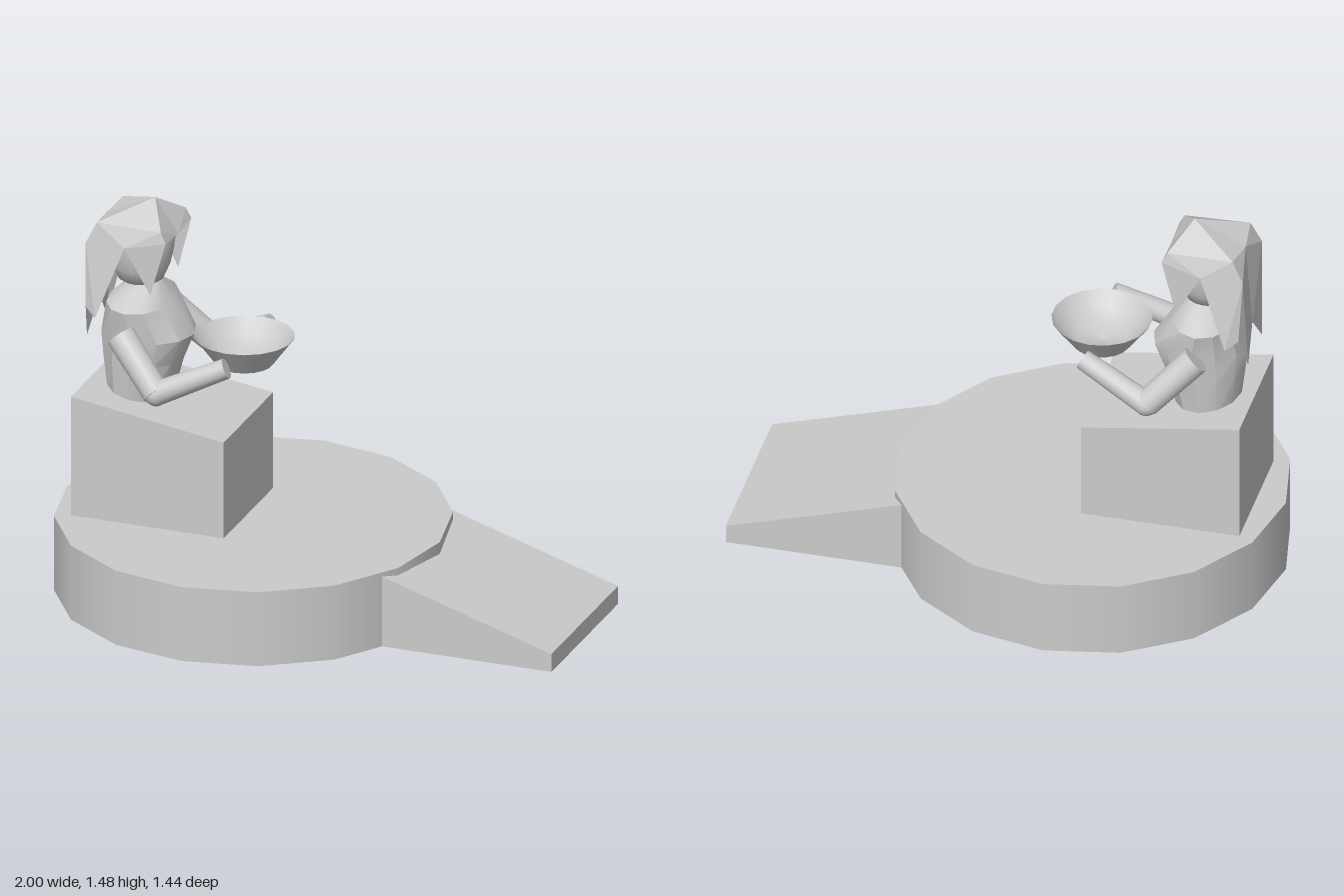
import * as THREE from 'three';
import { toCreasedNormals } from 'three/addons/utils/BufferGeometryUtils.js';

const smooth = new THREE.MeshStandardMaterial({ color: 0xcccccc, side: THREE.DoubleSide });
const flat = new THREE.MeshStandardMaterial({ color: 0xcccccc, side: THREE.DoubleSide, flatShading: true });
const V = (x, y, z) => new THREE.Vector3(x, y, z);

function add(parent, name, geometry, material = smooth) {
  const mesh = new THREE.Mesh(geometry, material);
  mesh.name = name;
  parent.add(mesh);
  return mesh;
}

// Side outline in x and y, extruded symmetrically across z
function slab(points, halfWidth) {
  const shape = new THREE.Shape(points.map(([x, y]) => new THREE.Vector2(x, y)));
  const g = new THREE.ExtrudeGeometry(shape, { depth: 2 * halfWidth, bevelEnabled: false });
  return g.translate(0, 0, -halfWidth);
}

function lathe(points, sides) {
  return new THREE.LatheGeometry(points.map(([r, y]) => new THREE.Vector2(r, y)), sides);
}

// Tapered limb from a to b
function limb(a, b, ra, rb) {
  const d = b.clone().sub(a);
  const g = new THREE.CylinderGeometry(rb, ra, d.length(), 14);
  g.applyQuaternion(new THREE.Quaternion().setFromUnitVectors(V(0, 1, 0), d.normalize()));
  const mid = a.clone().add(b).multiplyScalar(0.5);
  return g.translate(mid.x, mid.y, mid.z);
}

// Elliptical rings [y, back x, front x, half width] joined into a closed body
function loft(rings, sides) {
  const pos = [], index = [];
  for (const [y, back, front, w] of rings) {
    for (let i = 0; i < sides; i++) {
      const t = (i / sides) * Math.PI * 2;
      pos.push((back + front) / 2 + Math.cos(t) * (front - back) / 2, y, Math.sin(t) * w);
    }
  }
  for (let r = 0; r < rings.length - 1; r++) {
    for (let i = 0; i < sides; i++) {
      const a = r * sides + i, b = r * sides + (i + 1) % sides;
      index.push(a, a + sides, b, b, a + sides, b + sides);
    }
  }
  const top = (rings.length - 1) * sides;
  for (let i = 1; i < sides - 1; i++) {
    index.push(0, i, i + 1, top, top + i + 1, top + i);
  }
  const g = new THREE.BufferGeometry();
  g.setAttribute('position', new THREE.Float32BufferAttribute(pos, 3));
  g.setIndex(index);
  return toCreasedNormals(g, 0.5);
}

// Faceted hair: triangles of the +z half, mirrored across z
function hairGeometry() {
  const p = {
    peak: [-0.66, 1.475, 0], brow: [-0.57, 1.345, 0], crown: [-0.85, 1.385, 0],
    frontTop: [-0.59, 1.395, 0.125], backTop: [-0.835, 1.4, 0.13],
    frontEdge: [-0.57, 1.355, 0.13], cheekTip: [-0.625, 1.15, 0.14],
    gap: [-0.72, 1.325, 0.155], sideTip: [-0.82, 1.05, 0.19],
    backEdge: [-0.875, 1.32, 0.14], backTip: [-0.885, 0.94, 0.1],
    backSide: [-0.865, 1.08, 0.165], backNotch: [-0.875, 1.06, 0],
  };
  const faces = [
    'peak frontTop brow', 'brow frontTop frontEdge', 'peak backTop frontTop', 'peak crown backTop',
    'frontTop gap frontEdge', 'frontTop backTop gap', 'frontEdge gap cheekTip',
    'backTop sideTip gap', 'backTop backEdge sideTip', 'backEdge backSide sideTip',
    'crown backEdge backTop', 'crown backNotch backEdge', 'backNotch backTip backEdge', 'backEdge backTip backSide',
  ];
  const pos = [];
  for (const face of faces) {
    const tri = face.split(' ').map((n) => p[n]);
    tri.forEach((c) => pos.push(...c));
    [...tri].reverse().forEach(([x, y, z]) => pos.push(x, y, -z));
  }
  const g = new THREE.BufferGeometry();
  g.setAttribute('position', new THREE.Float32BufferAttribute(pos, 3));
  g.computeVertexNormals();
  return g;
}

export function createModel() {
  const model = new THREE.Group();
  model.name = 'figureOnPlatform';

  // Round platform, ramp and sloping pedestal
  add(model, 'platform', new THREE.CylinderGeometry(0.72, 0.72, 0.29, 16).translate(-0.28, 0.145, 0));
  add(model, 'ramp', slab([[0.3, 0], [1, 0], [1, 0.07], [0.3, 0.288]], 0.335));
  add(model, 'pedestal', slab([[-0.89, 0.28], [-0.3, 0.28], [-0.3, 0.665], [-0.89, 0.755]], 0.248));

  const figure = new THREE.Group();
  figure.name = 'figure';
  model.add(figure);

  // Torso with angular chest and shoulders
  add(figure, 'torso', loft([
    [0.7, -0.83, -0.595, 0.14],
    [0.86, -0.85, -0.55, 0.155],
    [0.96, -0.86, -0.51, 0.165],
    [1.08, -0.83, -0.585, 0.185],
    [1.155, -0.75, -0.64, 0.055],
  ], 12));

  // Head with a rounded chin
  const head = add(figure, 'head', lathe([
    [0, 1.13], [0.04, 1.133], [0.085, 1.16], [0.107, 1.21], [0.12, 1.27], [0.13, 1.36], [0.1, 1.4], [0, 1.42],
  ], 16));
  head.position.x = -0.715;
  add(figure, 'hair', hairGeometry(), flat);

  // Bent arms reaching towards the bowl
  for (const s of [1, -1]) {
    const arm = new THREE.Group();
    arm.name = s > 0 ? 'rightArm' : 'leftArm';
    const shoulder = V(-0.715, 1.0, 0.2 * s), elbow = V(-0.55, 0.83, 0.275 * s), hand = V(-0.3, 0.945, 0.22 * s);
    add(arm, 'upperArm', limb(shoulder, elbow, 0.055, 0.05));
    add(arm, 'elbow', new THREE.SphereGeometry(0.046, 12, 8).translate(elbow.x, elbow.y, elbow.z));
    add(arm, 'forearm', limb(elbow, hand, 0.045, 0.038));
    figure.add(arm);
  }

  // Open bowl with a flat base and rounded inside
  const bowl = new THREE.Group();
  bowl.name = 'bowl';
  bowl.position.set(-0.315, 0, 0);
  add(bowl, 'bowlOuter', lathe([[0.105, 0.88], [0.183, 0.985]], 18));
  add(bowl, 'bowlBase', new THREE.CircleGeometry(0.105, 18).rotateX(Math.PI / 2).rotateY(Math.PI / 2).translate(0, 0.88, 0));
  add(bowl, 'bowlInner', lathe([[0.183, 0.985], [0.14, 0.932], [0.09, 0.9], [0, 0.885]], 18));
  model.add(bowl);

  return model;
}
